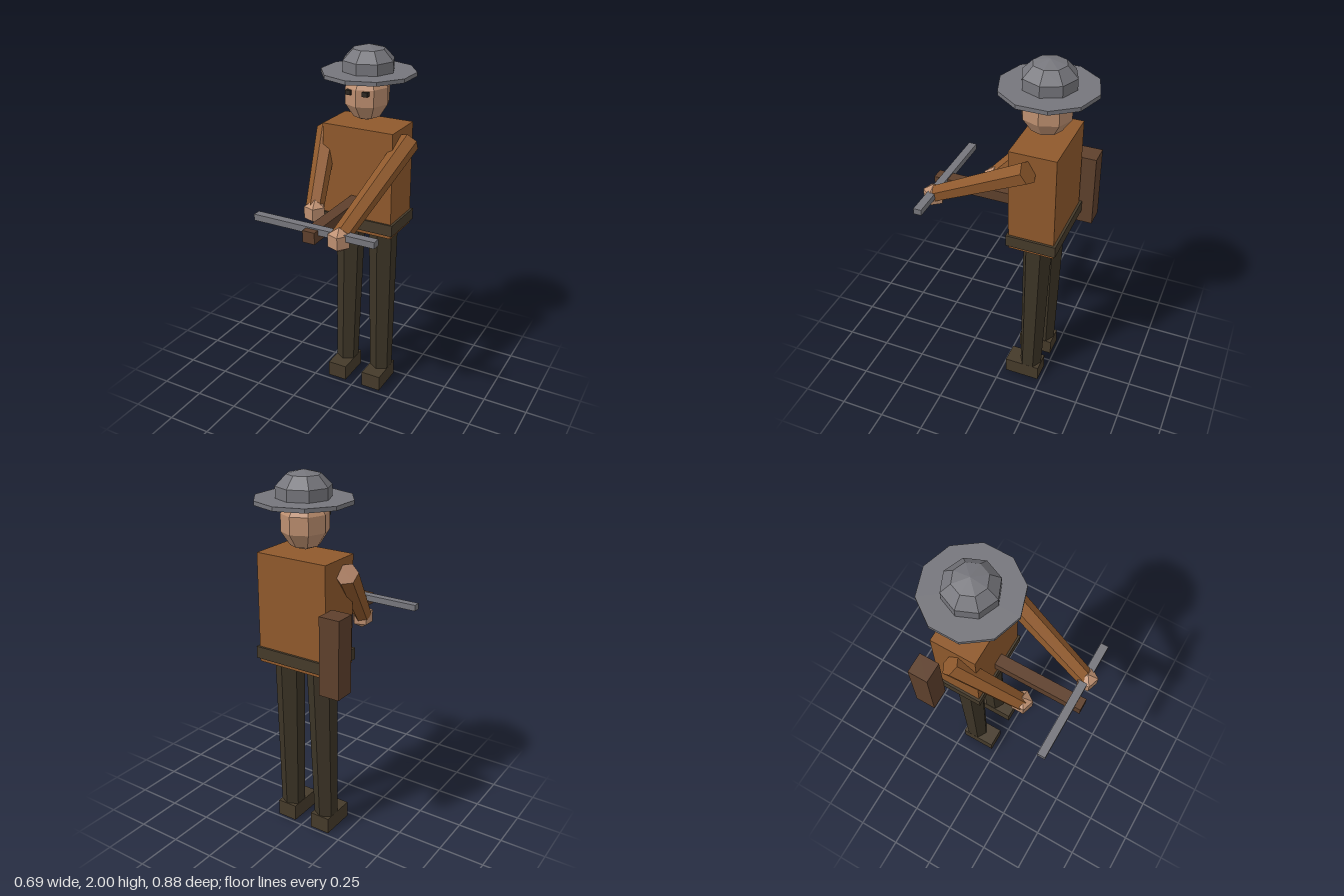
import * as THREE from 'three';

const paint = (name, color) => {
  const m = new THREE.MeshStandardMaterial({ color, flatShading: true });
  m.name = name;
  return m;
};

export function createModel() {
  const model = new THREE.Group();
  model.name = 'crossbowman';

  const tunic = paint('tunic brown', 0x8f592c);
  const trousers = paint('trouser brown', 0x3c3426);
  const leather = paint('belt and boot leather', 0x453a2a);
  const skin = paint('skin', 0xbd8f70);
  const steel = paint('steel grey', 0x76767c);
  const wood = paint('dark wood', 0x5e402c);
  const dark = paint('eye dark', 0x2c2620);

  const add = (name, geometry, material, x = 0, y = 0, z = 0) => {
    const mesh = new THREE.Mesh(geometry, material);
    mesh.name = name;
    mesh.position.set(x, y, z);
    model.add(mesh);
    return mesh;
  };
  // box given by its low and high limits on each axis
  const box = (name, material, [x0, x1], [y0, y1], [z0, z1]) =>
    add(name, new THREE.BoxGeometry(x1 - x0, y1 - y0, z1 - z0), material,
      (x0 + x1) / 2, (y0 + y1) / 2, (z0 + z1) / 2);
  // six-sided tapered limb between two points
  const limb = (name, material, low, high, rLow, rHigh) => {
    const a = new THREE.Vector3(...low), b = new THREE.Vector3(...high);
    const dir = b.clone().sub(a);
    const mesh = add(name, new THREE.CylinderGeometry(rHigh, rLow, dir.length(), 6), material);
    mesh.position.copy(a).add(b).multiplyScalar(0.5);
    mesh.quaternion.setFromUnitVectors(new THREE.Vector3(0, 1, 0), dir.normalize());
  };

  // torso and belt
  box('torso', tunic, [-0.205, 0.205], [0.997, 1.588], [-0.31, -0.062]);
  box('belt', leather, [-0.218, 0.218], [1.018, 1.082], [-0.323, -0.051]);

  // legs, boots and eyes
  for (const [side, s] of [['left', 1], ['right', -1]]) {
    limb(side + 'Leg', trousers, [s * 0.114, 0.05, -0.166], [s * 0.102, 0.998, -0.188], 0.064, 0.08);
    const boot = box(side + 'Boot', leather, [0.055, 0.17], [0, 0.093], [-0.232, -0.03]);
    boot.position.x *= s;
    const eye = box(side + 'Eye', dark, [0.033, 0.063], [1.762, 1.786], [-0.08, -0.05]);
    eye.position.x *= s;
  }

  // arms reach forward, the left one further along the weapon
  limb('leftArm', tunic, [0.143, 1.187, 0.378], [0.242, 1.52, -0.18], 0.048, 0.06);
  limb('rightArm', tunic, [-0.138, 1.187, 0.15], [-0.242, 1.52, -0.18], 0.048, 0.06);
  const handShape = new THREE.SphereGeometry(0.066, 5, 3).rotateY(Math.PI);
  add('leftHand', handShape, skin, 0.143, 1.176, 0.387);
  add('rightHand', handShape, skin, -0.132, 1.176, 0.155);

  // head
  add('head', new THREE.SphereGeometry(1, 8, 5).scale(0.123, 0.143, 0.138), skin, 0, 1.747, -0.179);

  // kettle hat
  add('hatCrown', new THREE.SphereGeometry(1, 8, 5).scale(0.147, 0.111, 0.147), steel, 0, 1.889, -0.189);
  add('hatBrim', new THREE.CylinderGeometry(0.251, 0.251, 0.021, 10), steel, 0, 1.855, -0.189);

  // crossbow
  box('crossbowStock', wood, [-0.034, 0.034], [1.145, 1.208], [-0.08, 0.44]);
  box('crossbowBow', steel, [-0.343, 0.343], [1.181, 1.215], [0.361, 0.405]);

  // quiver on the right hip
  box('quiver', wood, [-0.333, -0.219], [0.945, 1.36], [-0.386, -0.273]);

  return model;
}
